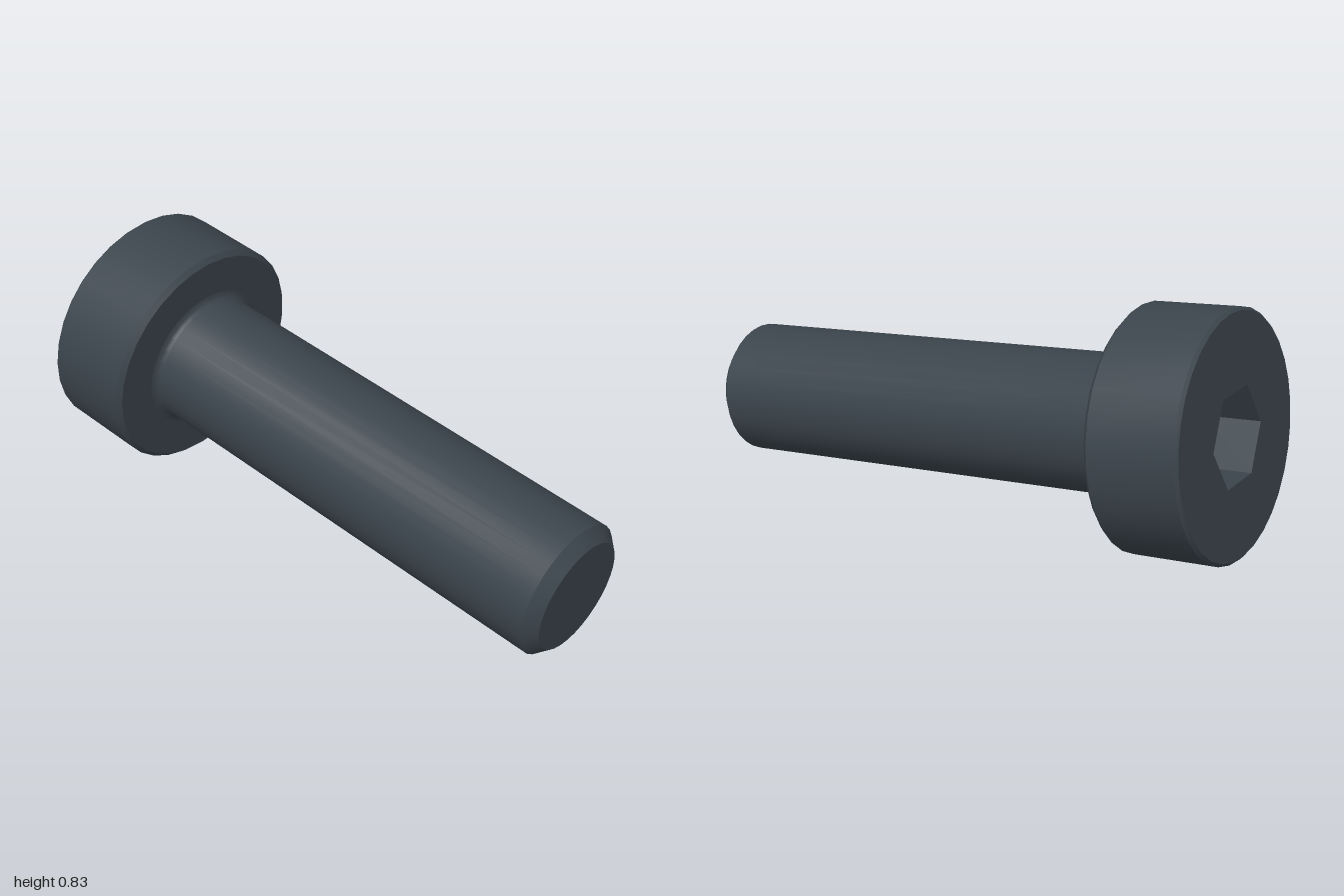
import * as THREE from 'three';
import { toCreasedNormals } from 'three/addons/utils/BufferGeometryUtils.js';

const SEGMENTS = 32;
const CREASE = 0.4;

// Dimensions along the bolt axis, measured from the socket face (0) to the tip
const LENGTH = 1.918, HEAD_HEIGHT = 0.318;
const HEAD_R = 0.4, SHANK_R = 0.2275, FILLET = 0.025, TIP_CHAMFER = 0.04;
const HEX_R = 0.166, HEX_DEPTH = 0.2;

const ring = (radius, count) => Array.from({ length: count }, (_, i) => {
  const a = (i / count) * Math.PI * 2;
  return new THREE.Vector2(radius * Math.sin(a), radius * Math.cos(a));
});

const lathe = (points) => toCreasedNormals(
  new THREE.LatheGeometry(points.map(([r, y]) => new THREE.Vector2(r, y)), SEGMENTS), CREASE);

export function createModel() {
  const steel = new THREE.MeshStandardMaterial({ color: 0x3b444c });
  steel.name = 'dark steel';

  const bolt = new THREE.Group();
  bolt.name = 'bolt';
  const add = (name, geometry) => {
    const mesh = new THREE.Mesh(geometry, steel);
    mesh.name = name;
    bolt.add(mesh);
  };

  // Head wall with small chamfers and the flat underside
  add('head', lathe([
    [HEAD_R - 0.01, 0], [HEAD_R, 0.01],
    [HEAD_R, HEAD_HEIGHT - 0.016], [HEAD_R - 0.016, HEAD_HEIGHT],
    [SHANK_R + FILLET, HEAD_HEIGHT],
  ]));

  // Shank with a fillet under the head and a chamfered tip
  const shank = [];
  for (let i = 0; i <= 4; i++) {
    const a = (i / 4) * Math.PI / 2;
    shank.push([SHANK_R + FILLET * (1 - Math.sin(a)), HEAD_HEIGHT + FILLET * (1 - Math.cos(a))]);
  }
  shank.push([SHANK_R, LENGTH - TIP_CHAMFER], [SHANK_R - TIP_CHAMFER, LENGTH], [0, LENGTH]);
  add('shank', lathe(shank));

  // Head face with the hexagonal opening
  const face = new THREE.Shape(ring(HEAD_R - 0.01, SEGMENTS));
  face.holes.push(new THREE.Path(ring(HEX_R, 6)));
  add('headFace', new THREE.ShapeGeometry(face).rotateX(Math.PI / 2));

  // Socket walls, wound backwards so that they face inwards, and the floor
  const walls = new THREE.CylinderGeometry(HEX_R, HEX_R, HEX_DEPTH, 6, 1, true, 0, -Math.PI * 2);
  add('socketWalls', toCreasedNormals(walls.translate(0, HEX_DEPTH / 2, 0), CREASE));
  const floor = new THREE.CircleGeometry(HEX_R, 6, Math.PI / 2);
  add('socketFloor', floor.rotateX(Math.PI / 2).translate(0, HEX_DEPTH, 0));

  // Tilt the bolt axis, keeping two socket corners level
  const axis = new THREE.Vector3(0.973, -0.107, 0.204).normalize();
  const level = new THREE.Vector3(-axis.z, 0, axis.x).normalize();
  const side = new THREE.Vector3().crossVectors(axis, level);
  bolt.quaternion.setFromRotationMatrix(new THREE.Matrix4().makeBasis(side, axis, level));
  bolt.position.set(-0.91, 0.429, -0.106);

  const model = new THREE.Group();
  model.name = 'tiltedBolt';
  model.add(bolt);
  return model;
}
